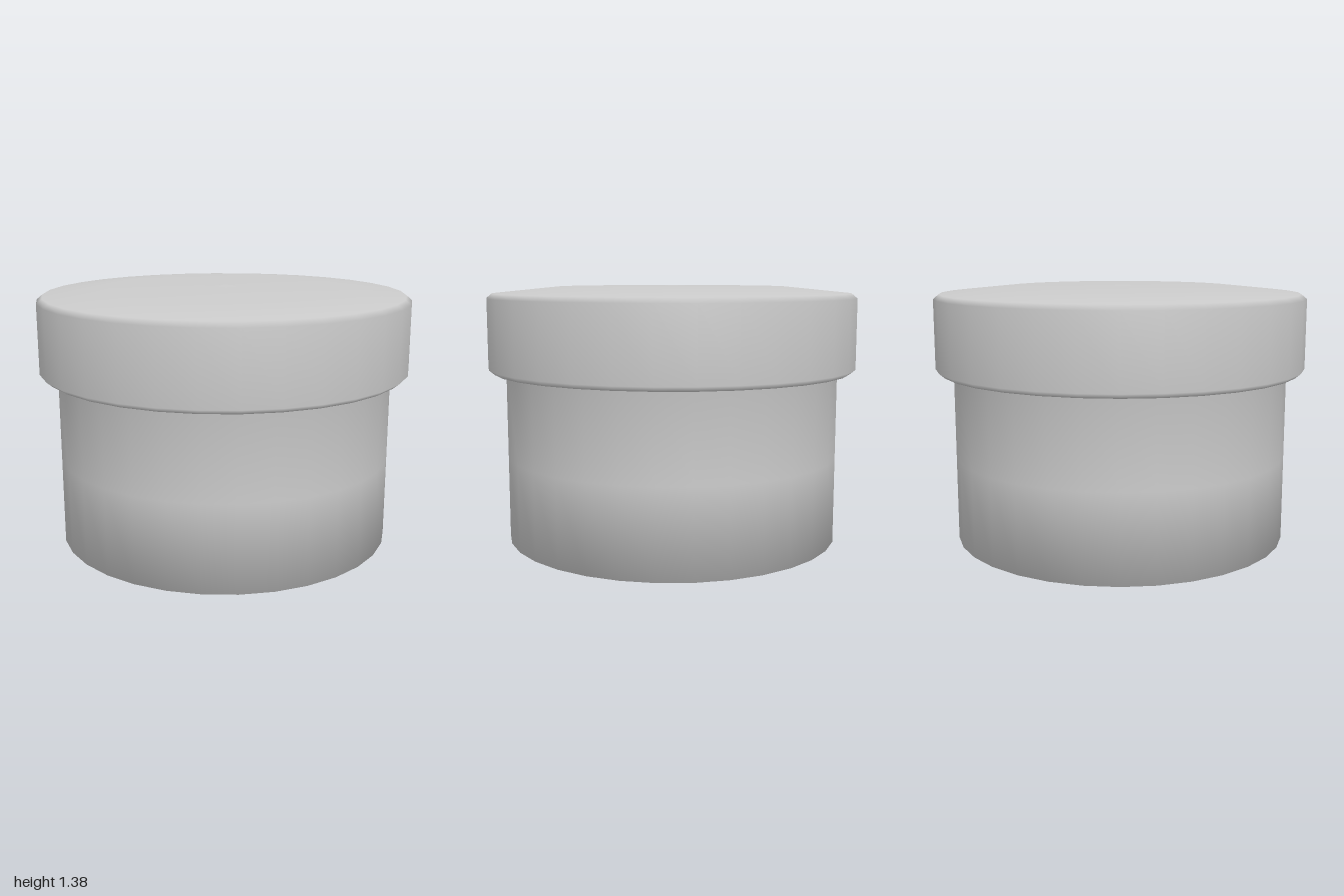
import * as THREE from 'three';

export function createModel() {
  const model = new THREE.Group();
  model.name = 'cappedPlug';

  // One continuous smooth profile (radius, height), from base centre to top centre
  const profile = [
    // base and straight stem
    [0, 0], [0.62, 0], [0.905, 0], [0.905, 0.46], [0.905, 0.915],
    // bevelled cap rim
    [0.97, 0.915], [1, 0.94], [1, 1.31], [0.97, 1.335],
    // gently domed top with a slight centre rise
    [0.62, 1.37], [0.11, 1.371], [0, 1.378],
  ].map(([r, y]) => new THREE.Vector2(r, y));

  const plug = new THREE.Mesh(
    new THREE.LatheGeometry(profile, 32),
    new THREE.MeshStandardMaterial({ color: 0xcccccc })
  );
  plug.name = 'stemAndCap';
  model.add(plug);

  return model;
}
